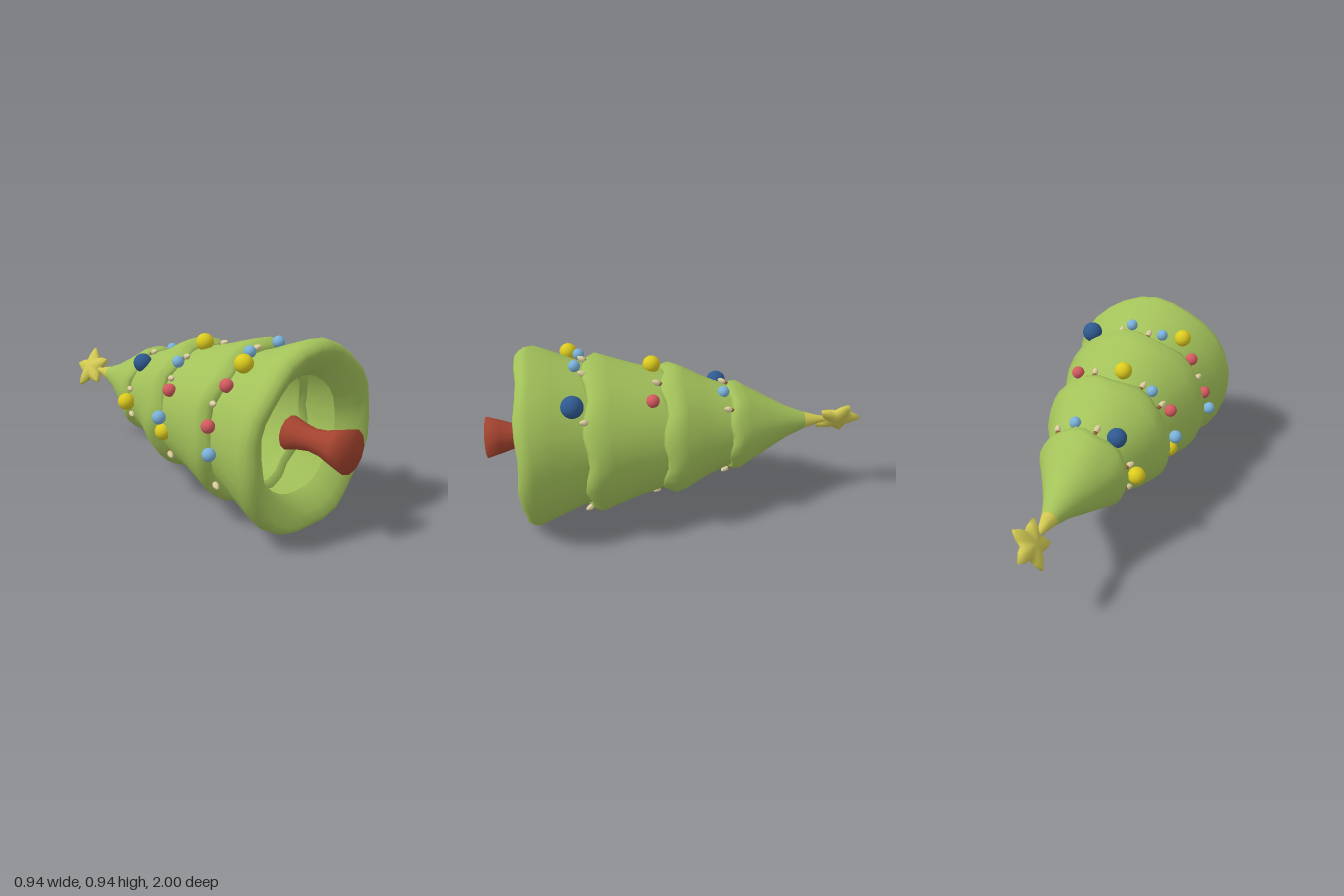
import * as THREE from 'three';
import { mergeVertices } from 'three/addons/utils/BufferGeometryUtils.js';

const mat = (name, color, side = THREE.FrontSide) => {
  const m = new THREE.MeshStandardMaterial({ color, side });
  m.name = name;
  return m;
};

// Weld the seams so that the normals are smooth all round
function smooth(geo) {
  geo.deleteAttribute('uv');
  geo.deleteAttribute('normal');
  const g = mergeVertices(geo, 1e-4);
  g.computeVertexNormals();
  return g;
}

export function createModel() {
  const green = mat('needle green', 0xa3c25a, THREE.DoubleSide);
  const brown = mat('trunk red brown', 0xa3432f);
  const gold = mat('star gold', 0xd0c852);
  const yellow = mat('bauble yellow', 0xdccb1e);
  const navy = mat('bauble dark blue', 0x2f5a90);
  const sky = mat('bauble light blue', 0x7bb2da);
  const red = mat('bauble red', 0xd45a60);
  const cream = mat('bulb cream', 0xddd0a0);
  const socket = mat('bulb socket', 0x96603a);

  // The tree is built upright around y, then laid on its side
  const tree = new THREE.Group();
  tree.name = 'tree';
  const add = (name, geo, material, parent = tree) => {
    const m = new THREE.Mesh(geo, material);
    m.name = name;
    parent.add(m);
    return m;
  };
  const lathe = (points, sides) =>
    new THREE.LatheGeometry(points.map(([r, y]) => new THREE.Vector2(r, y)), sides);

  // Hollow branch tiers, each an open shell with a curled, wavy skirt
  const tiers = [
    { name: 'bottomTier', amp: 0.008, phase: 0.4, pts: [[0.29, -0.71], [0.325, -0.755], [0.375, -0.79], [0.42, -0.815],
      [0.446, -0.808], [0.463, -0.78], [0.468, -0.74], [0.43, -0.64], [0.385, -0.53], [0.35, -0.42]] },
    { name: 'lowerTier', amp: 0.018, phase: 1.2, pts: [[0.335, -0.46], [0.365, -0.49], [0.395, -0.475], [0.418, -0.43],
      [0.395, -0.36], [0.355, -0.24], [0.325, -0.13], [0.295, -0.03]] },
    { name: 'upperTier', amp: 0.018, phase: 2.6, pts: [[0.28, -0.06], [0.305, -0.1], [0.33, -0.085], [0.35, -0.035],
      [0.33, 0.02], [0.275, 0.12], [0.24, 0.2], [0.215, 0.27]] },
    { name: 'topTier', amp: 0.014, phase: 0.9, pts: [[0.19, 0.27], [0.213, 0.245], [0.233, 0.265], [0.237, 0.305],
      [0.205, 0.36], [0.145, 0.47], [0.085, 0.58], [0.045, 0.68], [0.02, 0.72]] },
  ];
  for (const { name, amp, phase, pts } of tiers) {
    const geo = lathe(pts, 28);
    const p = geo.attributes.position;
    const low = Math.min(...pts.map((q) => q[1]));
    for (let i = 0; i < p.count; i++) {
      const a = Math.atan2(p.getZ(i), p.getX(i));
      const w = Math.max(0, 1 - (p.getY(i) - low) / 0.2);
      const k = 1 + 0.012 * w * Math.sin(5 * a + phase);
      p.setXYZ(i, p.getX(i) * k, p.getY(i) + amp * w * Math.sin(7 * a + phase), p.getZ(i) * k);
    }
    add(name, smooth(geo), green);
  }

  // Waisted trunk
  add('trunk', lathe([[0, -1], [0.108, -1], [0.088, -0.93], [0.062, -0.85], [0.056, -0.79],
    [0.066, -0.73], [0.085, -0.66], [0, -0.63]], 12), brown);

  // Collar and puffy five-pointed star
  add('starCollar', lathe([[0, 0.665], [0.046, 0.67], [0.043, 0.69], [0.022, 0.76], [0.015, 0.8]], 12), gold);
  const starGeo = new THREE.SphereGeometry(1, 20, 8);
  starGeo.rotateX(Math.PI / 2);
  const sp = starGeo.attributes.position;
  for (let i = 0; i < sp.count; i++) {
    const x = sp.getX(i), y = sp.getY(i);
    const turn = Math.atan2(x, y) / (Math.PI * 2) * 5;
    const offTip = Math.abs(turn - Math.round(turn)) * 2;
    const r = 0.13 - 0.062 * Math.min(1, offTip * 1.15);
    sp.setXYZ(i, x * r, y * r, sp.getZ(i) * 0.034);
  }
  const star = add('star', smooth(starGeo), gold);
  star.position.y = 0.87;
  star.rotation.y = -1.0;

  // Baubles: material, radius, angle round the tree, distance from axis, height
  const baubles = [
    [navy, 0.055, 45, 0.43, -0.54], [yellow, 0.045, 122, 0.43, -0.56], [red, 0.033, 138, 0.4, -0.52],
    [red, 0.033, 167, 0.4, -0.495], [sky, 0.033, 184, 0.42, -0.53], [sky, 0.03, 108, 0.41, -0.505],
    [sky, 0.03, 82, 0.41, -0.525],
    [red, 0.033, 51, 0.35, -0.15], [yellow, 0.045, 97, 0.355, -0.135], [red, 0.033, 152, 0.345, -0.15],
    [sky, 0.035, 176, 0.35, -0.12], [sky, 0.03, 127, 0.35, -0.115], [yellow, 0.043, 190, 0.325, -0.12],
    [navy, 0.045, 262, 0.325, -0.15],
    [yellow, 0.045, 180, 0.262, 0.232], [navy, 0.05, 128, 0.245, 0.22], [sky, 0.03, 73, 0.24, 0.225],
  ];
  for (const [material, radius, deg, r, y] of baubles) {
    const a = THREE.MathUtils.degToRad(deg);
    add('bauble', new THREE.SphereGeometry(radius, 18, 12), material)
      .position.set(r * Math.cos(a), y, r * Math.sin(a));
  }

  // Fairy lights: one row under each skirt, pointing out and down
  const rows = [
    { r: 0.395, y: -0.485, angles: [35, 75, 98, 152, 215, 255, 278, 300] },
    { r: 0.335, y: -0.12, angles: [71, 118, 142, 215, 250, 287] },
    { r: 0.235, y: 0.24, angles: [47, 103, 165, 200, 275, 300] },
  ];
  const bulbGeo = lathe([[0, -0.03], [0.009, -0.022], [0.016, -0.004], [0.013, 0.012], [0, 0.02]], 10);
  const socketGeo = new THREE.CylinderGeometry(0.009, 0.011, 0.016, 8);
  for (const { r, y, angles } of rows) {
    for (const deg of angles) {
      const pivot = new THREE.Group();
      pivot.name = 'fairyLight';
      pivot.rotation.y = -THREE.MathUtils.degToRad(deg);
      const light = new THREE.Group();
      light.name = 'bulbAndSocket';
      light.position.set(r, y, 0);
      light.rotation.z = 0.5;
      add('bulb', bulbGeo, cream, light);
      add('bulbSocket', socketGeo, socket, light).position.y = 0.021;
      pivot.add(light);
      tree.add(pivot);
    }
  }

  tree.rotation.x = -Math.PI / 2;
  tree.position.y = 0.474;
  const model = new THREE.Group();
  model.name = 'decoratedTree';
  model.add(tree);
  return model;
}
